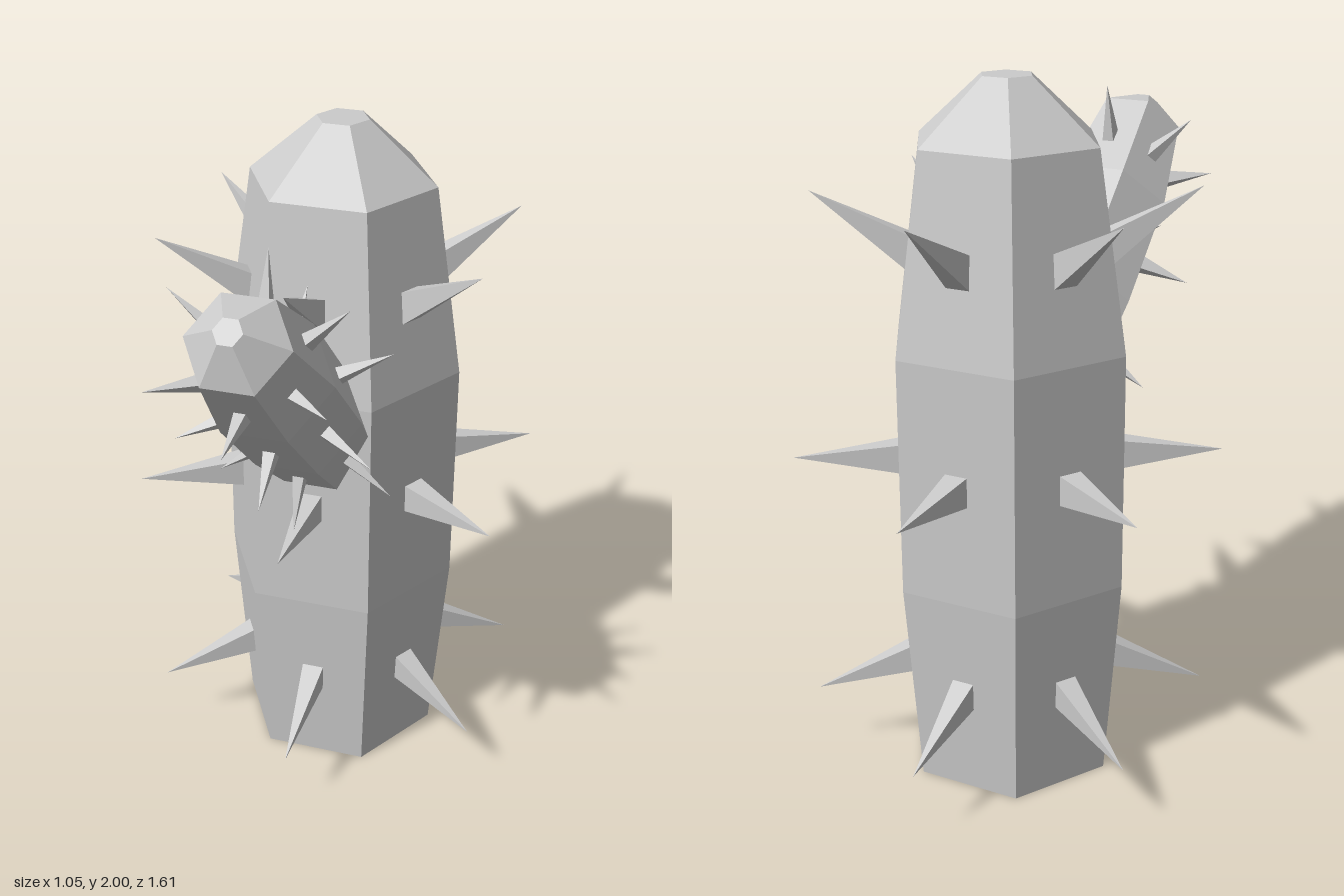
import * as THREE from 'three';

const material = new THREE.MeshStandardMaterial({ color: 0xcccccc, flatShading: true });

// Six-sided tapering trunk: [radius, height]
const PROFILE = [[0, 0], [0.305, 0], [0.353, 0.6], [0.353, 1.28], [0.27, 1.83], [0.075, 2], [0, 2]];

// Spike rows: base radius and height, tip radius and height
const ROWS = [
  { base: [0.25, 0.32], tip: [0.568, 0.205] },
  { base: [0.288, 0.94], tip: [0.607, 0.94] },
  { base: [0.25, 1.525], tip: [0.527, 1.7] },
];

// Square pyramid lying along +z, from its base at the origin
function spikeGeometry(length) {
  const g = new THREE.ConeGeometry(Math.SQRT1_2, length, 4, 1);
  g.rotateY(Math.PI / 4);
  g.translate(0, length / 2, 0);
  g.rotateX(Math.PI / 2);
  g.scale(0.07, 0.09, 1);
  return g;
}

function createStem(name) {
  const stem = new THREE.Group();
  stem.name = name;

  // Trunk, with corners on the x axis and flat faces to front and back
  const points = PROFILE.map(([r, y]) => new THREE.Vector2(r, y));
  const trunk = new THREE.Mesh(new THREE.LatheGeometry(points, 6, Math.PI / 2), material);
  trunk.name = name + 'Trunk';
  stem.add(trunk);

  // One spike in the middle of every face, in three rows
  for (const { base, tip } of ROWS) {
    const dr = tip[0] - base[0];
    const dy = tip[1] - base[1];
    const geometry = spikeGeometry(Math.hypot(dr, dy));
    geometry.rotateX(-Math.atan2(dy, dr));
    geometry.translate(0, base[1], base[0]);
    for (let i = 0; i < 6; i++) {
      const spike = new THREE.Mesh(geometry, material);
      spike.name = name + 'Spike';
      spike.rotation.y = i * Math.PI / 3;
      stem.add(spike);
    }
  }
  return stem;
}

export function createModel() {
  const model = new THREE.Group();
  model.name = 'cactus';

  // Main upright stem
  const body = createStem('body');
  body.position.z = -0.195;
  model.add(body);

  // Smaller copy leaning out of the front as an arm
  const arm = createStem('arm');
  arm.scale.setScalar(0.508);
  arm.position.set(0, 1.093, -0.005);
  arm.rotation.x = THREE.MathUtils.degToRad(46.5);
  model.add(arm);

  return model;
}
